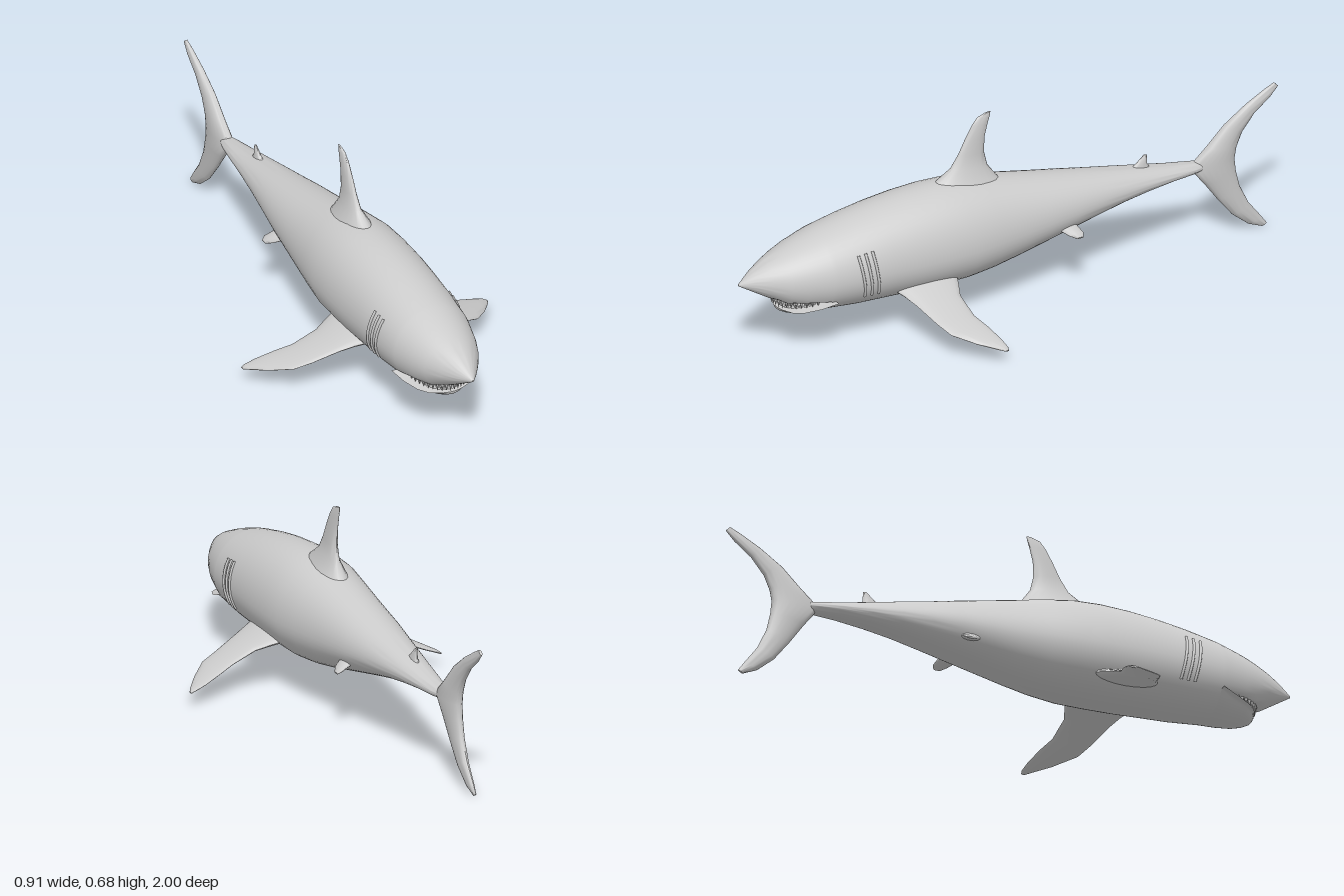
import * as THREE from 'three';
import { toCreasedNormals } from 'three/addons/utils/BufferGeometryUtils.js';

const V = (x, y, z) => new THREE.Vector3(x, y, z);
const material = new THREE.MeshStandardMaterial({ color: 0xcccccc });

// Skin a list of closed rings and cap both ends
function loft(rings, crease = 0.8) {
  const n = rings[0].length, pos = [], idx = [];
  rings.forEach(r => r.forEach(p => pos.push(p.x, p.y, p.z)));
  for (let i = 0; i < rings.length - 1; i++) {
    for (let j = 0; j < n; j++) {
      const a = i * n + j, b = i * n + (j + 1) % n;
      idx.push(a, a + n, b, b, a + n, b + n);
    }
  }
  [0, rings.length - 1].forEach((row, end) => {
    const c = V(0, 0, 0);
    rings[row].forEach(p => c.addScaledVector(p, 1 / n));
    const k = pos.length / 3;
    pos.push(c.x, c.y, c.z);
    for (let j = 0; j < n; j++) {
      const a = row * n + j, b = row * n + (j + 1) % n;
      if (end) idx.push(k, b, a); else idx.push(k, a, b);
    }
  });
  const g = new THREE.BufferGeometry();
  g.setAttribute('position', new THREE.Float32BufferAttribute(pos, 3));
  g.setIndex(idx);
  return toCreasedNormals(g, crease);
}

// Body stations: z, top, bottom, half width, height of the widest point
const BODY = [
  [1, .278, .272, .003, .275], [.95, .313, .242, .04, .272], [.9, .34, .212, .072, .268],
  [.85, .361, .175, .1, .265], [.8, .38, .15, .12, .265], [.72, .405, .135, .142, .265],
  [.705, .409, .134, .145, .265], [.6, .433, .126, .155, .267], [.5, .451, .123, .16, .27],
  [.4, .463, .12, .165, .27], [.3, .469, .119, .166, .27], [.2, .466, .12, .164, .27],
  [.1, .45, .13, .15, .272], [0, .431, .149, .136, .275], [-.1, .411, .172, .123, .28],
  [-.2, .392, .195, .11, .285], [-.3, .372, .217, .093, .288], [-.4, .354, .238, .076, .289],
  [-.5, .335, .253, .06, .289], [-.6, .316, .263, .045, .288], [-.68, .305, .265, .031, .285],
  [-.75, .295, .275, .012, .285],
];
// Lower jaw stations, with the lip height last
const JAW = [
  [.705, .409, .134, .145, .265, .2], [.76, .4, .135, .128, .24, .184],
  [.81, .4, .139, .105, .215, .173], [.84, .4, .145, .078, .2, .168],
  [.857, .4, .152, .04, .18, .166], [.863, .4, .159, .012, .17, .165],
];
const MOUTH_BACK = .71, PALATE = .2;

const sectionPoint = ([z, top, bot, w, mid], a) =>
  V(w * Math.cos(a), mid + Math.sin(a) * (Math.sin(a) > 0 ? top - mid : mid - bot), z);

function section(row, fitY) {
  return Array.from({ length: 48 }, (_, j) => {
    const p = sectionPoint(row, j / 48 * Math.PI * 2);
    p.y = fitY(p.y);
    return p;
  });
}

function stationAt(z) {
  const i = BODY.findIndex((r, k) => k > 0 && r[0] <= z);
  const a = BODY[i - 1], b = BODY[i], t = (a[0] - z) / (a[0] - b[0]);
  return a.map((v, k) => v + (b[k] - v) * t);
}

// Fin rows: leading point, trailing point, half thickness; lens-shaped sections
function fin(rows) {
  const first = rows[0], last = rows[rows.length - 1];
  const span = last[0].clone().add(last[1]).sub(first[0]).sub(first[1]);
  const normal = span.cross(first[1].clone().sub(first[0])).normalize();
  return loft(rows.map(([lead, trail, thick]) => Array.from({ length: 20 }, (_, j) => {
    const t = j / 20 * Math.PI * 2;
    return lead.clone().lerp(trail, (1 - Math.cos(t)) / 2).addScaledVector(normal, thick * Math.sin(t));
  })), 1.1);
}
// Upright fin rows: lead z, lead y, trail z, trail y, half thickness
const uprightFin = rows => fin(rows.map(([z1, y1, z2, y2, t]) => [V(0, y1, z1), V(0, y2, z2), t]));
// Side fin rows: x, y, lead z, trail z, half thickness
const sideFin = rows => fin(rows.map(([x, y, z1, z2, t]) => [V(x, y, z1), V(x, y, z2), t]));

export function createModel() {
  const model = new THREE.Group();
  model.name = 'shark';
  const add = (name, geometry, parent = model) => {
    const m = new THREE.Mesh(geometry, material);
    m.name = name;
    parent.add(m);
    return m;
  };

  // Body and snout, cut flat above the mouth
  add('body', loft(BODY.map(r => section(r, y => r[0] > MOUTH_BACK ? Math.max(y, PALATE) : y))));
  add('lowerJaw', loft(JAW.slice().reverse().map(r => section(r, y => Math.min(y, r[5])))));

  // Fins along the centre line
  add('dorsalFin', uprightFin([
    [.3, .44, .01, .41, .055], [.265, .47, .045, .444, .042], [.215, .505, .078, .49, .02],
    [.185, .55, .09, .54, .015], [.16, .6, .088, .595, .012], [.135, .645, .077, .64, .009],
    [.115, .67, .068, .668, .006], [.09, .679, .066, .682, .003],
  ]));
  add('secondDorsalFin', uprightFin([
    [-.44, .325, -.535, .31, .014], [-.475, .352, -.515, .343, .008], [-.502, .377, -.514, .374, .003],
  ]));
  add('tailFin', uprightFin([
    [-.94, .004, -.957, .014, .004], [-.89, .025, -.935, .045, .01], [-.83, .075, -.89, .105, .015],
    [-.775, .145, -.857, .175, .019], [-.725, .215, -.843, .235, .023], [-.67, .285, -.838, .285, .028],
    [-.735, .345, -.845, .325, .023], [-.8, .41, -.865, .372, .019], [-.88, .466, -.91, .428, .014],
    [-.95, .505, -.97, .475, .01], [-.985, .522, -1, .507, .005],
  ]));

  // Paired fins and gills
  const pectoral = sideFin([
    [.08, .19, .5, .24, .03], [.15, .168, .465, .265, .02], [.2, .15, .445, .285, .013],
    [.285, .115, .416, .28, .01], [.34, .096, .395, .26, .009], [.4, .074, .33, .243, .007],
    [.44, .06, .275, .238, .005], [.452, .054, .255, .241, .003],
  ]);
  const pelvic = sideFin([
    [.06, .25, -.11, -.2, .016], [.1, .234, -.14, -.205, .011],
    [.125, .222, -.16, -.212, .007], [.138, .213, -.18, -.205, .003],
  ]);
  const gills = [.565, .59, .615].map(z => {
    const path = Array.from({ length: 9 }, (_, k) => {
      const a = -.5 + k / 8 * 1.05;
      const p = sectionPoint(stationAt(z + .012 * Math.sin(a * 2)), a);
      return p.setX(p.x + .001);
    });
    return new THREE.TubeGeometry(new THREE.CatmullRomCurve3(path), 16, .005, 6);
  });
  for (const [side, s] of [['left', 1], ['right', -1]]) {
    const half = new THREE.Group();
    half.name = side + 'SideParts';
    half.scale.x = s;
    add(side + 'PectoralFin', pectoral, half);
    add(side + 'PelvicFin', pelvic, half);
    gills.forEach((g, i) => add(side + 'Gill' + (i + 1), g, half));
    model.add(half);
  }

  // Two rows of pointed teeth around the jaws
  const teeth = new THREE.Group();
  teeth.name = 'teeth';
  const tooth = new THREE.ConeGeometry(.007, .03, 6);
  for (let i = 0; i < 21; i++) {
    const a = (i / 20 - .5) * 2.7, c = Math.cos(a), h = .65 + .35 * c;
    const upper = add('upperTooth', tooth, teeth);
    upper.position.set(.1 * Math.sin(a), PALATE + .003 - .015 * h, .725 + .145 * c);
    upper.scale.y = h;
    upper.rotation.x = Math.PI;
    if (i === 20) continue;
    const b = (i / 19 - .5) * 2.5, d = Math.cos(b), k = .5 + .4 * d;
    const lower = add('lowerTooth', tooth, teeth);
    lower.position.set(.085 * Math.sin(b), .166 + .016 * (1 - d) + .015 * k, .725 + .118 * d);
    lower.scale.y = k;
  }
  model.add(teeth);
  return model;
}
